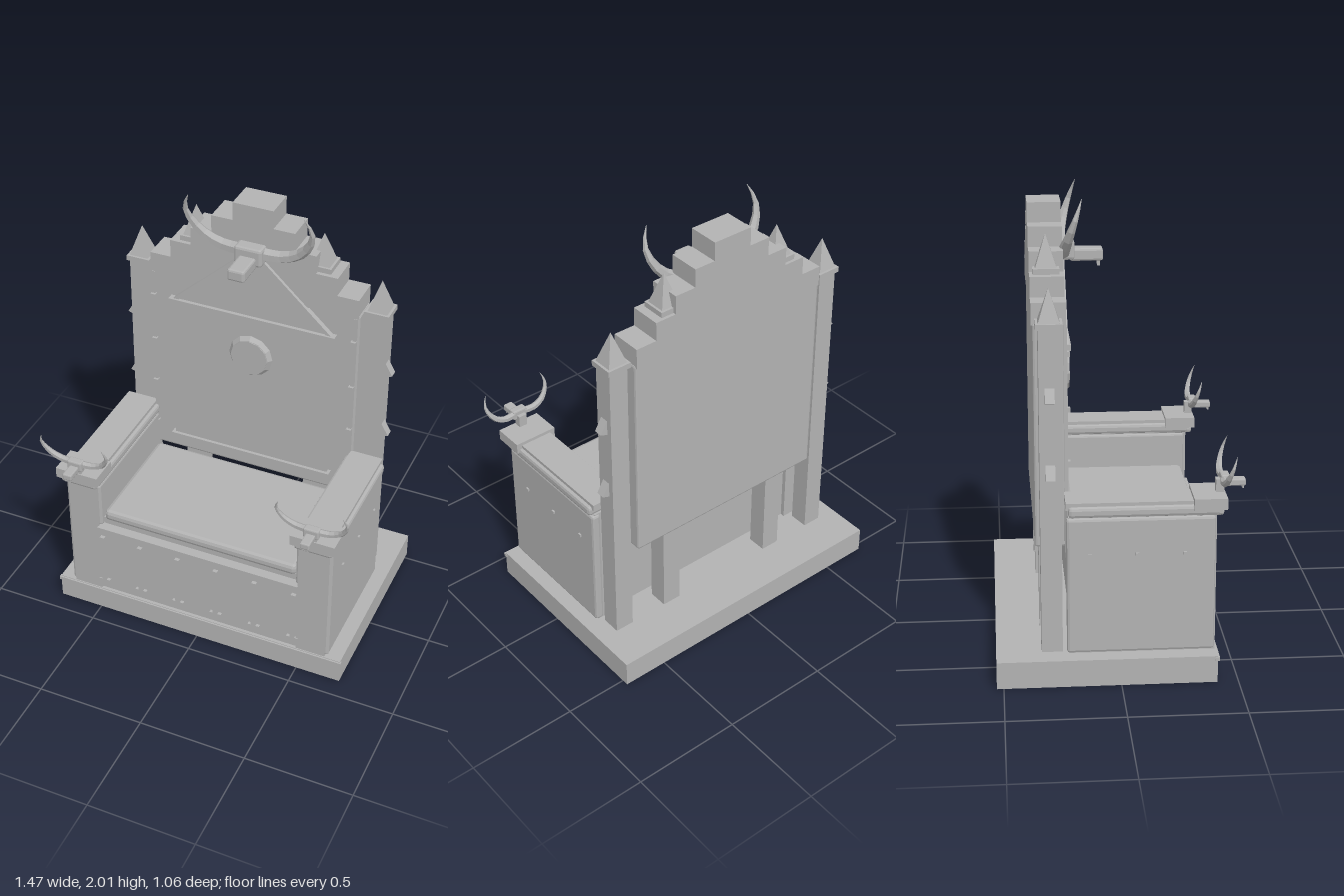
import * as THREE from 'three';
import { RoundedBoxGeometry } from 'three/addons/geometries/RoundedBoxGeometry.js';

const stone = new THREE.MeshStandardMaterial({ color: 0xb2b2b2, flatShading: true });
stone.name = 'stone grey';

function add(parent, name, geometry, x = 0, y = 0, z = 0) {
  const mesh = new THREE.Mesh(geometry, stone);
  mesh.name = name;
  mesh.position.set(x, y, z);
  parent.add(mesh);
  return mesh;
}

// Box given by its limits; a chamfer cuts every edge
function block(parent, name, [x0, x1], [y0, y1], [z0, z1], chamfer = 0) {
  const w = x1 - x0, h = y1 - y0, d = z1 - z0;
  const geometry = chamfer
    ? new RoundedBoxGeometry(w, h, d, 1, chamfer)
    : new THREE.BoxGeometry(w, h, d);
  return add(parent, name, geometry, (x0 + x1) / 2, (y0 + y1) / 2, (z0 + z1) / 2);
}

function plate(points, depth) {
  const shape = new THREE.Shape(points.map(([x, y]) => new THREE.Vector2(x, y)));
  return new THREE.ExtrudeGeometry(shape, { depth, bevelEnabled: false });
}

// Tube that thins to a point along its curve
function hornGeometry(points, radius) {
  const curve = new THREE.CatmullRomCurve3(points.map((p) => new THREE.Vector3(...p)));
  const rings = 9, sides = 6;
  const geometry = new THREE.TubeGeometry(curve, rings, radius, sides);
  const pos = geometry.attributes.position;
  const v = new THREE.Vector3();
  for (let i = 0; i <= rings; i++) {
    const centre = curve.getPointAt(i / rings);
    const taper = 1 - 0.97 * Math.pow(i / rings, 2);
    for (let j = 0; j <= sides; j++) {
      const k = i * (sides + 1) + j;
      v.fromBufferAttribute(pos, k).sub(centre).multiplyScalar(taper).add(centre);
      pos.setXYZ(k, v.x, v.y, v.z);
    }
  }
  return geometry;
}

// Horned skull facing +z
function skull(parent, x, y, z, scale) {
  const g = new THREE.Group();
  g.name = 'hornedSkull';
  g.position.set(x, y, z);
  g.scale.setScalar(scale);
  block(g, 'skullHead', [-0.065, 0.065], [-0.035, 0.05], [-0.03, 0.04], 0.012);
  block(g, 'snout', [-0.04, 0.04], [-0.045, 0.01], [0.02, 0.165], 0.01);
  for (const tx of [-0.02, 0, 0.02]) {
    block(g, 'tooth', [tx - 0.006, tx + 0.006], [-0.068, -0.04], [0.14, 0.152]);
  }
  for (const s of [-1, 1]) {
    add(g, 'horn', hornGeometry([
      [s * 0.04, 0.015, -0.005], [s * 0.13, 0.012, -0.015], [s * 0.215, 0.045, -0.01],
      [s * 0.275, 0.115, 0.01], [s * 0.293, 0.19, 0.035], [s * 0.265, 0.265, 0.06],
    ], 0.03));
  }
  parent.add(g);
}

// Square post with a cap and a pyramid spire
function post(parent, x, top) {
  const z = -0.29;
  block(parent, 'post', [x - 0.045, x + 0.045], [0.12, top], [z - 0.045, z + 0.045]);
  block(parent, 'postCap', [x - 0.056, x + 0.056], [top - 0.005, top + 0.02], [z - 0.056, z + 0.056]);
  const spire = new THREE.ConeGeometry(0.045 * Math.SQRT2, 0.14, 4);
  spire.rotateY(Math.PI / 4);
  add(parent, 'spire', spire, x, top + 0.09, z);
}

function buildBase(root) {
  block(root, 'plinth', [-0.71, 0.71], [0, 0.12], [-0.53, 0.41]);
  block(root, 'plinthTrim', [-0.715, 0.715], [0.1, 0.117], [0.4, 0.418]);
}

function buildSeat(root) {
  block(root, 'seatBox', [-0.5, 0.5], [0.12, 0.48], [-0.2, 0.395]);
  block(root, 'seatTrim', [-0.495, 0.495], [0.475, 0.5], [-0.2, 0.415]);
  block(root, 'seatSlab', [-0.48, 0.48], [0.5, 0.535], [-0.2, 0.37]);
  block(root, 'cushion', [-0.472, 0.472], [0.525, 0.58], [-0.19, 0.38], 0.018);
  // Upright ribs with small feet on the front
  for (let i = 0; i < 6; i++) {
    const x = -0.475 + i * 0.19;
    block(root, 'frontRib', [x - 0.011, x + 0.011], [0.175, 0.44], [0.39, 0.412]);
    block(root, 'ribFoot', [x - 0.028, x + 0.028], [0.173, 0.182], [0.39, 0.41]);
  }
}

function buildArm(root, s) {
  const arm = new THREE.Group();
  arm.name = s > 0 ? 'leftArm' : 'rightArm';
  const span = (a, b) => (s > 0 ? [a, b] : [-b, -a]);
  block(arm, 'armBody', span(0.492, 0.632), [0.12, 0.735], [-0.22, 0.405]);
  block(arm, 'sidePanel', span(0.605, 0.648), [0.125, 0.732], [-0.228, 0.4], 0.012);
  block(arm, 'innerPanel', span(0.478, 0.52), [0.5, 0.732], [-0.228, 0.395], 0.01);
  block(arm, 'armMoulding', span(0.472, 0.66), [0.738, 0.785], [-0.22, 0.415], 0.014);
  block(arm, 'armRest', span(0.49, 0.643), [0.77, 0.8], [-0.23, 0.4]);
  block(arm, 'armCollar', span(0.478, 0.655), [0.735, 0.77], [0.31, 0.433], 0.012);
  block(arm, 'armEndBlock', span(0.465, 0.67), [0.765, 0.815], [0.305, 0.445]);
  block(arm, 'skullRest', span(0.545, 0.585), [0.81, 0.87], [0.405, 0.44]);
  for (const z of [0.27, 0.07, -0.13]) {
    block(arm, 'sideStud', span(0.64, 0.656), [0.565, 0.578], [z - 0.008, z + 0.008]);
  }
  skull(arm, s * 0.565, 0.865, 0.44, 0.55);
  root.add(arm);
}

function buildBack(root) {
  block(root, 'backPanel', [-0.5, 0.5], [0.555, 1.535], [-0.355, -0.225], 0.01);
  // Stepped crest
  for (let i = 0; i < 5; i++) {
    const w = 0.495 - i * 0.1;
    block(root, 'crestStep', [-w, w], [1.525 + (i ? i * 0.086 : 0), 1.62 + i * 0.086], [-0.36, -0.215]);
  }
  // Raised front panel with mouldings
  block(root, 'frontPanel', [-0.385, 0.385], [0.63, 1.4], [-0.24, -0.205]);
  block(root, 'topMoulding', [-0.4, 0.4], [1.39, 1.415], [-0.24, -0.19]);
  block(root, 'bottomMoulding', [-0.4, 0.4], [0.632, 0.657], [-0.24, -0.19]);
  block(root, 'lowerMoulding', [-0.385, 0.385], [0.61, 0.632], [-0.24, -0.198]);
  // Gable with raking edges
  add(root, 'gable', plate([[-0.385, 1.41], [0.385, 1.41], [0, 1.765]], 0.03), 0, 0, -0.237);
  for (const s of [-1, 1]) {
    const corners = [[0, 1.765], [s * -0.0, 1.74], [s * 0.36, 1.41], [s * 0.385, 1.41]];
    add(root, 'gableEdge', plate(corners, 0.03), 0, 0, -0.23);
  }
  // Round medallion
  const ring = new THREE.CylinderGeometry(0.09, 0.107, 0.022, 12).rotateX(Math.PI / 2);
  add(root, 'medallionRing', ring, 0, 1.205, -0.196);
  const disc = new THREE.CylinderGeometry(0.088, 0.088, 0.006, 12).rotateX(Math.PI / 2);
  add(root, 'medallion', disc, 0, 1.205, -0.184);
  skull(root, 0, 1.74, -0.195, 1);

  for (const s of [-1, 1]) {
    post(root, s * 0.57, 1.54);
    post(root, s * 0.3, 1.71);
    // Side strips and studs of the back
    const strip = s > 0 ? [0.475, 0.492] : [-0.492, -0.475];
    block(root, 'edgeStrip', strip, [0.57, 1.525], [-0.24, -0.212]);
    for (const y of [0.69, 0.925, 1.16, 1.4]) {
      block(root, 'backStud', [s * 0.482 - 0.012, s * 0.482 + 0.012], [y - 0.01, y + 0.01], [-0.22, -0.2]);
    }
    // Wedge brackets on the outer posts
    for (const y of [0.89, 1.22]) {
      const wedge = plate([[s * 0.61, y], [s * 0.648, y + 0.013], [s * 0.61, y + 0.08]], 0.04);
      add(root, 'wedgeBracket', wedge, 0, 0, -0.31);
    }
  }
}

export function createModel() {
  const root = new THREE.Group();
  root.name = 'throne';
  buildBase(root);
  buildSeat(root);
  buildArm(root, 1);
  buildArm(root, -1);
  buildBack(root);
  return root;
}
